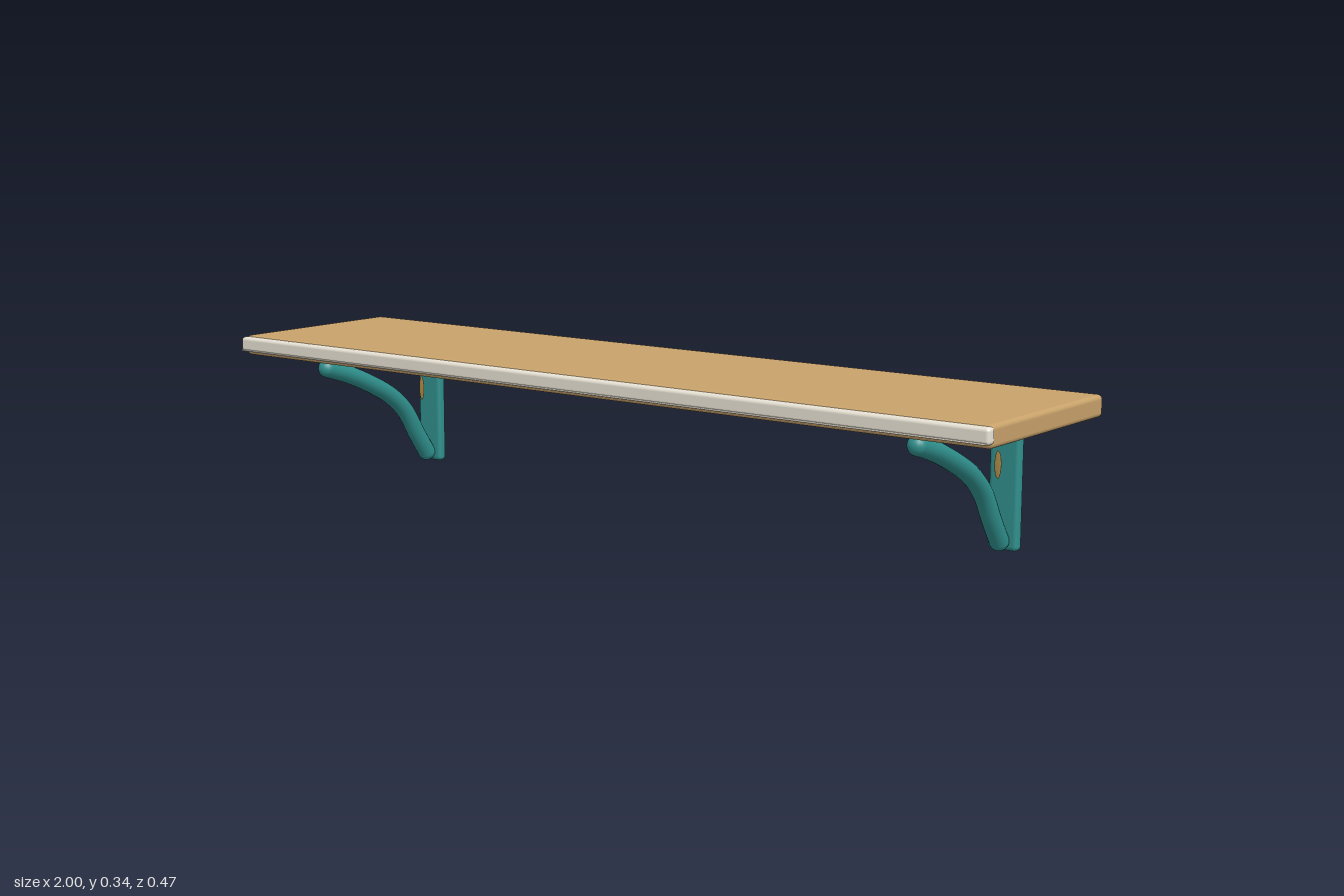
import * as THREE from 'three';
import { RoundedBoxGeometry } from 'three/addons/geometries/RoundedBoxGeometry.js';

const mat = (color) => new THREE.MeshStandardMaterial({ color });
const wood = mat(0xc8a26a);
const teal = mat(0x2f8f8c);
const cream = mat(0xe8e2d4);
const brass = mat(0xb08d4a);

function add(parent, name, geometry, material, x = 0, y = 0, z = 0) {
  const mesh = new THREE.Mesh(geometry, material);
  mesh.name = name;
  mesh.position.set(x, y, z);
  parent.add(mesh);
  return mesh;
}

// Bracket: wall plate, curved brace with round ends, small screws
function makeBracket() {
  const bracket = new THREE.Group();
  bracket.name = 'bracket';
  add(bracket, 'wallPlate', new RoundedBoxGeometry(0.07, 0.298, 0.025, 4, 0.01), teal, 0, 0.15, -0.2095);

  const r = 0.021;
  const path = new THREE.CatmullRomCurve3([
    [0.271, 0.147], [0.247, 0.075], [0.214, 0], [0.178, -0.065],
    [0.135, -0.113], [0.073, -0.153], [0.023, -0.187],
  ].map(([y, z]) => new THREE.Vector3(0, y, z)));
  add(bracket, 'brace', new THREE.TubeGeometry(path, 40, r, 20), teal);
  for (const t of [0, 1]) {
    const p = path.getPoint(t);
    add(bracket, 'braceEnd', new THREE.SphereGeometry(r, 20, 14), teal, p.x, p.y, p.z);
  }

  const ball = new THREE.SphereGeometry(1, 16, 10);
  add(bracket, 'screwHead', ball, brass, 0, 0.252, -0.185).scale.set(0.011, 0.011, 0.005);
  add(bracket, 'brassInlay', ball, brass, 0, 0.184, -0.173).scale.set(0.008, 0.029, 0.0015);
  return bracket;
}

export function createModel() {
  const shelf = new THREE.Group();
  shelf.name = 'wallShelf';

  // Board with softened edges
  add(shelf, 'board', new RoundedBoxGeometry(1.996, 0.046, 0.453, 4, 0.01), wood, 0, 0.318, -0.0085);

  // Front trim and its thin lower bead
  add(shelf, 'frontTrim', new RoundedBoxGeometry(2, 0.034, 0.024, 4, 0.008), cream, 0, 0.321, 0.22);
  const bead = add(shelf, 'trimBead', new THREE.CylinderGeometry(0.002, 0.002, 1.99, 8), cream, 0, 0.307, 0.2325);
  bead.rotation.z = Math.PI / 2;

  // Pair of brackets
  for (const side of [-1, 1]) {
    const bracket = makeBracket();
    bracket.position.x = side * 0.8;
    shelf.add(bracket);
  }
  return shelf;
}
